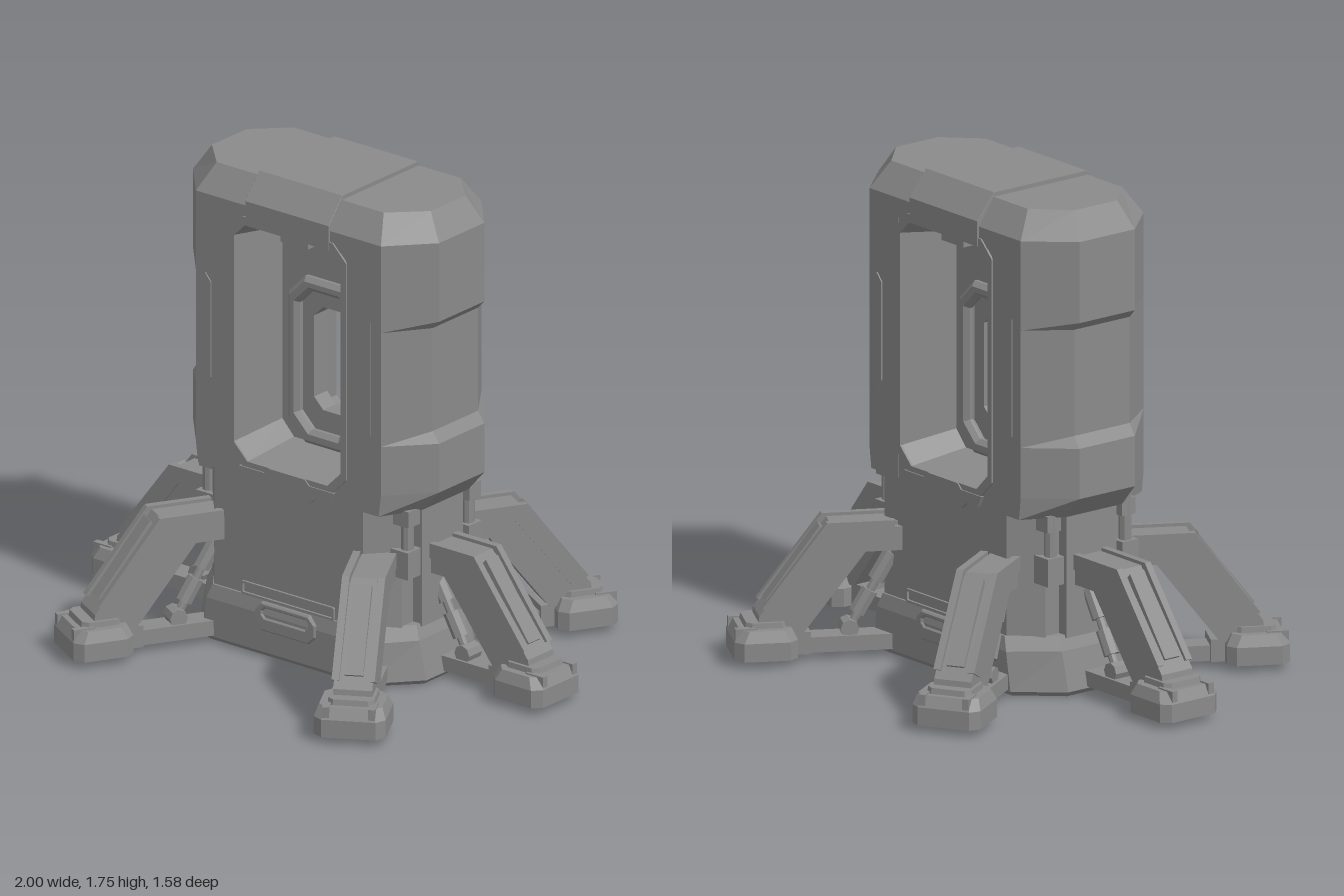
import * as THREE from 'three';

const grey = new THREE.MeshStandardMaterial({ color: 0x8a8a8a, flatShading: true });

function add(parent, name, geo, x = 0, y = 0, z = 0) {
  const m = new THREE.Mesh(geo, grey);
  m.name = name;
  m.position.set(x, y, z);
  parent.add(m);
  return m;
}
// Box given by its extents
function box(parent, name, x0, x1, y0, y1, z0, z1) {
  return add(parent, name, new THREE.BoxGeometry(x1 - x0, y1 - y0, z1 - z0), (x0 + x1) / 2, (y0 + y1) / 2, (z0 + z1) / 2);
}
// Stack of convex rings: levels are [y, [[x, z], ...]], counter-clockwise from above
function loft(levels) {
  const p = [];
  const n = levels[0][1].length;
  const v = (l, i) => [levels[l][1][i % n][0], levels[l][0], levels[l][1][i % n][1]];
  const top = levels.length - 1;
  for (let l = 0; l < top; l++) {
    for (let i = 0; i < n; i++) {
      p.push(...v(l, i), ...v(l, i + 1), ...v(l + 1, i + 1));
      p.push(...v(l, i), ...v(l + 1, i + 1), ...v(l + 1, i));
    }
  }
  for (let i = 1; i < n - 1; i++) {
    p.push(...v(0, 0), ...v(0, i + 1), ...v(0, i));
    p.push(...v(top, 0), ...v(top, i), ...v(top, i + 1));
  }
  const g = new THREE.BufferGeometry();
  g.setAttribute('position', new THREE.Float32BufferAttribute(p, 3));
  g.computeVertexNormals();
  return g;
}
// Rectangle ring with cut corners
function octRing(w, d, cx, cz) {
  return [[w, d - cz], [w, cz - d], [w - cx, -d], [cx - w, -d], [-w, cz - d], [-w, d - cz], [cx - w, d], [w - cx, d]];
}
const toVectors = (pts) => pts.map(([x, y]) => new THREE.Vector2(x, y));
function octPoints(w, y0, y1, c) {
  return toVectors([[w, y0 + c], [w, y1 - c], [w - c, y1], [c - w, y1], [-w, y1 - c], [-w, y0 + c], [c - w, y0], [w - c, y0]]);
}
function extrude(outer, hole, z0, z1, bevel = 0) {
  const s = new THREE.Shape(outer);
  if (hole) s.holes.push(new THREE.Path(hole));
  const g = new THREE.ExtrudeGeometry(s, {
    depth: z1 - z0 - 2 * bevel, bevelEnabled: bevel > 0, bevelThickness: bevel,
    bevelSize: bevel, bevelOffset: -bevel, bevelSegments: 1,
  });
  return g.translate(0, 0, z0 + bevel);
}
// Narrow the rear end of an extrusion around the doorway centre
function taperRear(g, zLimit, kx, ky) {
  const p = g.attributes.position;
  for (let i = 0; i < p.count; i++) {
    if (p.getZ(i) < zLimit) p.setXY(i, p.getX(i) * kx, 1.14 + (p.getY(i) - 1.14) * ky);
  }
  g.computeVertexNormals();
  return g;
}
function rod(parent, name, a, b, r, sides = 8) {
  const A = new THREE.Vector3(...a), B = new THREE.Vector3(...b);
  const m = add(parent, name, new THREE.CylinderGeometry(r, r, A.distanceTo(B), sides));
  m.position.copy(A).add(B).multiplyScalar(0.5);
  m.quaternion.setFromUnitVectors(new THREE.Vector3(0, 1, 0), B.sub(A).normalize());
}

function makeBody() {
  const body = new THREE.Group();
  body.name = 'body';

  // Plinth and lower column
  add(body, 'plinth', loft([
    [0, octRing(0.48, 0.265, 0.13, 0.14)], [0.02, octRing(0.5, 0.285, 0.13, 0.15)],
    [0.16, octRing(0.47, 0.288, 0.12, 0.15)], [0.21, octRing(0.45, 0.278, 0.12, 0.15)],
  ]));
  add(body, 'column', loft([[0.2, octRing(0.42, 0.27, 0.09, 0.1)], [0.69, octRing(0.42, 0.27, 0.09, 0.1)]]));

  // Side pillars, stepped in at mid height: [y, half width, corner x, half depth]
  const levels = [[0.64, 0.475, 0.4, 0.272], [0.72, 0.545, 0.41, 0.272], [0.9, 0.545, 0.41, 0.272],
    [0.94, 0.517, 0.41, 0.272], [1.32, 0.517, 0.41, 0.272], [1.35, 0.545, 0.41, 0.272],
    [1.64, 0.545, 0.41, 0.272], [1.735, 0.485, 0.37, 0.208]];
  for (const side of [1, -1]) {
    const ring = (w, e, d) => {
      const c = d * 0.45;
      const r = [[w, c], [w, -c], [e, -d], [0.255, -d], [0.255, d], [e, d]];
      return side > 0 ? r : r.map(([x, z]) => [-x, z]).reverse();
    };
    add(body, 'pillar', loft(levels.map(([y, w, e, d]) => [y, ring(w, e, d)])));
    // End panel and hanging struts under the pillar
    const fin = side * 0.43;
    box(body, 'endPanel', fin - 0.03, fin + 0.03, 0.2, 0.66, -0.11, 0.11);
    for (const z of [-0.165, 0.165]) {
      rod(body, 'strut', [side * 0.44, 0.42, z], [side * 0.44, 0.68, z], 0.022);
      box(body, 'strutBracket', fin - 0.04, fin + 0.04, 0.4, 0.5, z - 0.035, z + 0.035);
      box(body, 'strutClamp', fin - 0.03, fin + 0.04, 0.59, 0.65, z - 0.03, z + 0.03);
    }
    // Trim strips on both faces
    for (const f of [1, -1]) {
      const outline = toVectors([[0.34, 0.97], [0.365, 0.93], [0.365, 1.35], [0.34, 1.32]].map(([x, y]) => [side * x, y]));
      add(body, 'pillarTrim', extrude(outline, null, f > 0 ? 0.265 : -0.277, f > 0 ? 0.277 : -0.265));
    }
  }

  // Lintel and raised centre band over the doorway
  const lintel = (w, d, shoulder, topDepth, top) => loft([[1.57, octRing(w, d, 0.001, 0.001)],
    [shoulder, octRing(w, d, 0.001, 0.001)], [top, octRing(w, topDepth, 0.001, 0.001)]]);
  add(body, 'lintel', lintel(0.26, 0.272, 1.64, 0.208, 1.735));
  add(body, 'topBand', lintel(0.185, 0.28, 1.66, 0.205, 1.75));

  // Recess wall with the through window
  const wall = octPoints(0.26, 0.66, 1.62, 0.01);
  add(body, 'recessWall', extrude(wall, octPoints(0.13, 0.77, 1.31, 0.06), -0.055, 0.055));
  add(body, 'windowLiner', extrude(octPoints(0.14, 0.76, 1.32, 0.06), octPoints(0.08, 0.85, 1.23, 0.04), -0.035, 0.035));

  // Details on both faces
  for (const f of [1, -1]) {
    const face = new THREE.Group();
    face.name = f > 0 ? 'frontFace' : 'backFace';
    if (f < 0) face.rotation.y = Math.PI;
    body.add(face);
    add(face, 'recessFunnel', taperRear(extrude(wall, octPoints(0.237, 0.7, 1.58, 0.06), 0.05, 0.27), 0.15, 0.86, 0.93));
    add(face, 'doorTrim', extrude(octPoints(0.26, 0.68, 1.6, 0.06), octPoints(0.237, 0.7, 1.58, 0.06), 0.26, 0.278));
    add(face, 'windowFrame', extrude(octPoints(0.165, 0.73, 1.345, 0.075), octPoints(0.115, 0.785, 1.295, 0.055), 0.04, 0.085, 0.016));
    // Sill lip
    add(face, 'sill', extrude(toVectors([[-0.21, 0.68], [-0.19, 0.64], [-0.13, 0.64], [-0.1, 0.615], [0.1, 0.615],
      [0.13, 0.64], [0.19, 0.64], [0.21, 0.68], [0.1, 0.68], [0.08, 0.7], [-0.08, 0.7], [-0.1, 0.68]]), null, 0.24, 0.283));
    box(face, 'lampHousing', -0.06, 0.06, 1.53, 1.57, 0.13, 0.24);
    // Lower slot and handle
    add(face, 'slotFrame', extrude(octPoints(0.205, 0.208, 0.256, 0.004), octPoints(0.197, 0.216, 0.248, 0.002), 0.26, 0.279));
    add(face, 'handle', extrude(octPoints(0.135, 0.1, 0.205, 0.03), octPoints(0.1, 0.15, 0.185, 0.012), 0.26, 0.294, 0.006));
  }
  return body;
}

// Leg with its toe at the origin, pointing along +x
function makeLeg() {
  const leg = new THREE.Group();
  leg.name = 'leg';
  const profile = (pts, w) => extrude(toVectors(pts.map(([s, y]) => [-s, y])), null, -w, w);
  add(leg, 'arm', profile([[0.6, 0.385], [0.46, 0.385], [0.24, 0.1], [0.08, 0.1], [0.09, 0.17], [0.33, 0.47], [0.6, 0.47]], 0.068));
  add(leg, 'armSpine', profile([[0.6, 0.42], [0.4, 0.42], [0.19, 0.15], [0.1, 0.17], [0.34, 0.485], [0.6, 0.485]], 0.045));
  // Side rails and cover plate on the slope
  for (const z of [-0.062, 0.062]) {
    const rail = add(leg, 'armRail', profile([[0.56, 0.44], [0.37, 0.44], [0.16, 0.17], [0.1, 0.2], [0.325, 0.495], [0.56, 0.495]], 0.013));
    rail.position.z = z;
  }
  add(leg, 'armCover', profile([[0.32, 0.46], [0.13, 0.2], [0.115, 0.215], [0.305, 0.475]], 0.032));
  // Foot
  const foot = (w, d, c) => octRing(w, d, c, c);
  add(leg, 'foot', loft([[0.025, foot(0.11, 0.125, 0.03)], [0.09, foot(0.11, 0.125, 0.03)],
    [0.13, foot(0.09, 0.11, 0.03)]]), -0.11);
  add(leg, 'ankle', loft([[0.1, foot(0.08, 0.085, 0.02)], [0.15, foot(0.07, 0.08, 0.02)]]), -0.115);
  for (const z of [-0.08, 0.08]) {
    box(leg, 'toeRib', -0.08, -0.003, 0.03, 0.135, z - 0.012, z + 0.012);
  }
  box(leg, 'heel', -0.27, -0.17, 0.025, 0.105, -0.06, 0.06);
  // Ground bar and hydraulic ram
  box(leg, 'groundBar', -0.68, -0.2, 0.025, 0.08, -0.045, 0.045);
  rod(leg, 'ramPiston', [-0.41, 0.09, 0], [-0.58, 0.4, 0], 0.016);
  rod(leg, 'ramSleeve', [-0.44, 0.15, 0], [-0.485, 0.23, 0], 0.03);
  rod(leg, 'ramSleeve', [-0.505, 0.265, 0], [-0.56, 0.36, 0], 0.03);
  rod(leg, 'ramPivot', [-0.41, 0.1, -0.035], [-0.41, 0.1, 0.035], 0.033);
  return leg;
}

export function createModel() {
  const model = new THREE.Group();
  model.name = 'sixLeggedGateway';
  const body = makeBody();
  body.position.set(0.02, 0, 0.005);
  model.add(body);
  // Toe positions and headings in degrees
  const toes = [[1, 0, 0], [0.665, 0.74, -60], [-0.605, 0.73, -120], [-1, 0, 180], [-0.55, -0.74, 120], [0.605, -0.74, 60]];
  for (const [x, z, angle] of toes) {
    const leg = makeLeg();
    leg.position.set(x, 0, z);
    leg.rotation.y = THREE.MathUtils.degToRad(angle);
    model.add(leg);
  }
  return model;
}
